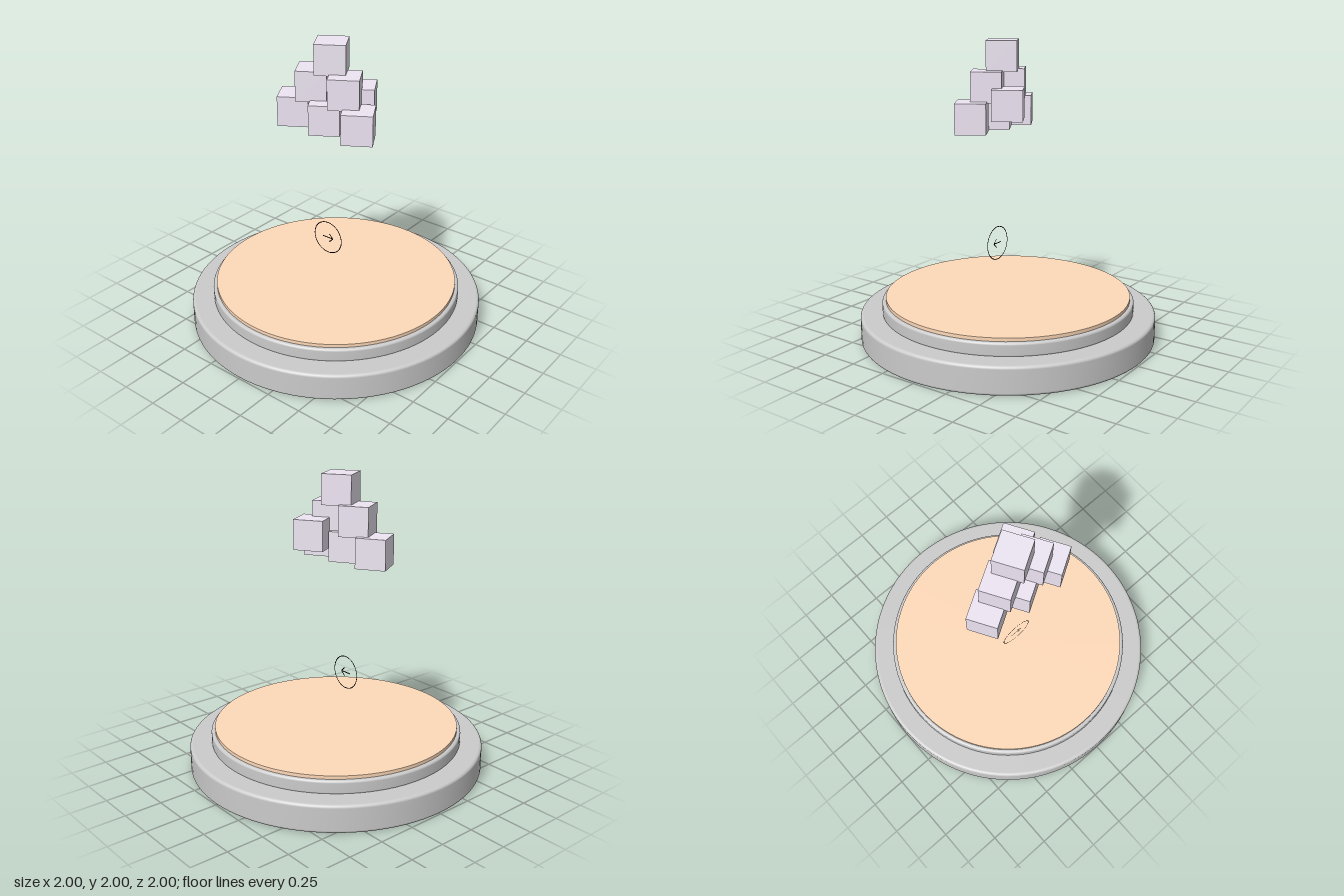
import * as THREE from 'three';

const material = (color) => new THREE.MeshStandardMaterial({ color });

// Round slab with filleted top and bottom rims
function roundSlab(name, radius, y0, y1, fillet, mat) {
  const pts = [new THREE.Vector2(0, y0), new THREE.Vector2(radius - fillet - 0.004, y0)];
  for (const [cy, start] of [[y0 + fillet, -Math.PI / 2], [y1 - fillet, 0]]) {
    for (let i = 0; i <= 6; i++) {
      const a = start + (i / 6) * Math.PI / 2;
      pts.push(new THREE.Vector2(radius - fillet + fillet * Math.cos(a), cy + fillet * Math.sin(a)));
    }
  }
  pts.push(new THREE.Vector2(radius - fillet - 0.004, y1), new THREE.Vector2(0, y1));
  const mesh = new THREE.Mesh(new THREE.LatheGeometry(pts, 96), mat);
  mesh.name = name;
  return mesh;
}

export function createModel() {
  const model = new THREE.Group();
  model.name = 'cubesOverPedestal';
  const grey = material(0xcccccc);

  // Stepped round pedestal with a thin coloured top
  model.add(roundSlab('pedestalBase', 1, 0, 0.188, 0.02, grey));
  model.add(roundSlab('pedestalStep', 0.853, 0.18, 0.273, 0.016, grey));
  const top = new THREE.Mesh(new THREE.CylinderGeometry(0.828, 0.828, 0.026, 96), material(0xffdab9));
  top.name = 'pedestalTop';
  top.position.y = 0.283;
  model.add(top);

  // Floating stack of turned cubes: rows of three, two and one, plus one behind
  const cubes = new THREE.Group();
  cubes.name = 'cubeStack';
  const cubeGeometry = new THREE.BoxGeometry(0.2, 0.2, 0.2);
  const cubeMaterial = material(0xeee6f4);
  const addCube = (name, x, y, z) => {
    const cube = new THREE.Mesh(cubeGeometry, cubeMaterial);
    cube.name = name;
    cube.position.set(x, y, z);
    cube.rotation.y = 0.54;
    cubes.add(cube);
  };
  for (let row = 0; row < 3; row++) {
    const count = 3 - row;
    for (let i = 0; i < count; i++) {
      addCube(`cubeRow${row + 1}`, (i - (count - 1) / 2) * 0.257, 1.52 + row * 0.19, 0.103 - row * 0.03);
    }
  }
  addCube('rearCube', 0.126, 1.605, -0.088);
  model.add(cubes);

  // Thin upright ring around a small arrow
  const marker = new THREE.Group();
  marker.name = 'directionMarker';
  marker.position.set(0, 0.628, 0.087);
  const ink = material(0x000000);
  ink.side = THREE.DoubleSide;
  const ring = new THREE.Mesh(new THREE.RingGeometry(0.111, 0.117, 64), ink);
  ring.name = 'markerRing';
  marker.add(ring);
  const addStroke = (name, x0, y0, x1, y1) => {
    const stroke = new THREE.Mesh(new THREE.PlaneGeometry(Math.hypot(x1 - x0, y1 - y0), 0.007), ink);
    stroke.name = name;
    stroke.position.set((x0 + x1) / 2, (y0 + y1) / 2, 0);
    stroke.rotation.z = Math.atan2(y1 - y0, x1 - x0);
    marker.add(stroke);
  };
  addStroke('arrowShaft', -0.043, 0, 0.042, 0);
  for (const s of [-1, 1]) addStroke('arrowHead', 0.012, s * 0.03, 0.042, 0);
  model.add(marker);

  return model;
}
